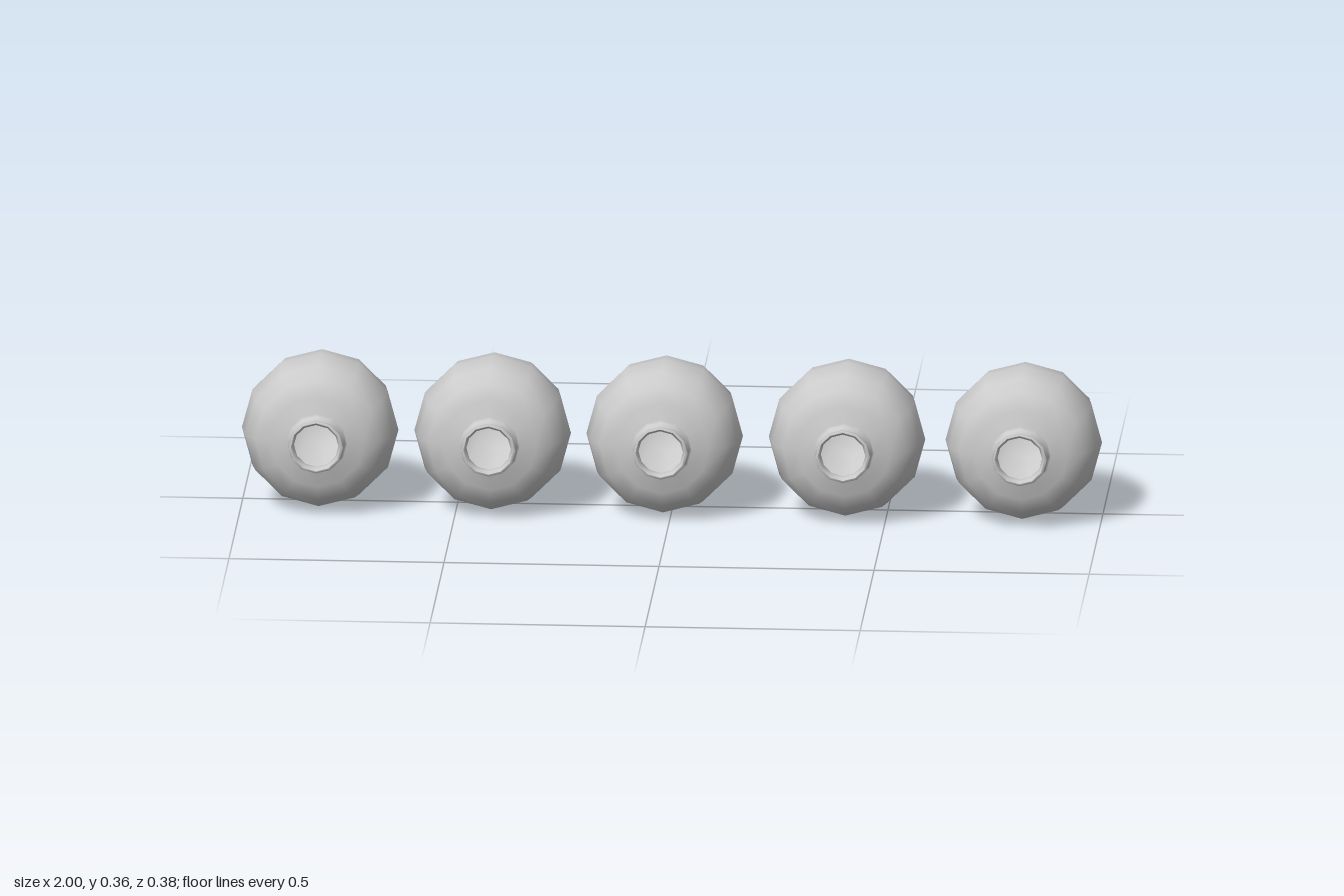
import * as THREE from 'three';

const SIDES = 12;
const CENTER_Y = 0.182;
const JAR_X = [-0.818, -0.417, -0.017, 0.407, 0.818];

// Profiles as [radius, position along the jar axis]
const OUTER = [
  [0.054, -0.19], [0.1, -0.155], [0.141, -0.103], [0.171, -0.038], [0.182, 0.032],
  [0.17, 0.094], [0.145, 0.13], [0.109, 0.147], [0.071, 0.154], [0.066, 0.16],
  [0.061, 0.171], [0.06, 0.182], [0.064, 0.187], [0.063, 0.19], [0.058, 0.191],
];
const INNER = [
  [0.058, 0.191], [0.053, 0.187], [0.052, 0.171], [0.058, 0.155], [0.1, 0.138],
  [0.135, 0.122], [0.16, 0.088], [0.172, 0.032], [0.161, -0.036], [0.132, -0.098],
  [0.092, -0.148], [0.05, -0.18], [0, -0.18],
];

function lathe(profile) {
  const points = profile.map(([r, h]) => new THREE.Vector2(r, h));
  return new THREE.LatheGeometry(points, SIDES).rotateX(Math.PI / 2);
}

export function createModel() {
  const model = new THREE.Group();
  model.name = 'jarRow';
  const material = new THREE.MeshStandardMaterial({ color: 0xcccccc });

  // Rounded body with neck and lip, hollow inside, flat disc as the foot
  const parts = {
    body: lathe(OUTER),
    cavity: lathe(INNER),
    base: new THREE.CircleGeometry(0.054, SIDES).rotateY(Math.PI).translate(0, 0, -0.19),
  };

  // Five jars lying side by side, mouths to the front
  JAR_X.forEach((x, i) => {
    const jar = new THREE.Group();
    jar.name = `jar${i + 1}`;
    for (const [name, geometry] of Object.entries(parts)) {
      const mesh = new THREE.Mesh(geometry, material);
      mesh.name = name;
      jar.add(mesh);
    }
    jar.position.set(x, CENTER_Y, 0);
    model.add(jar);
  });

  return model;
}
